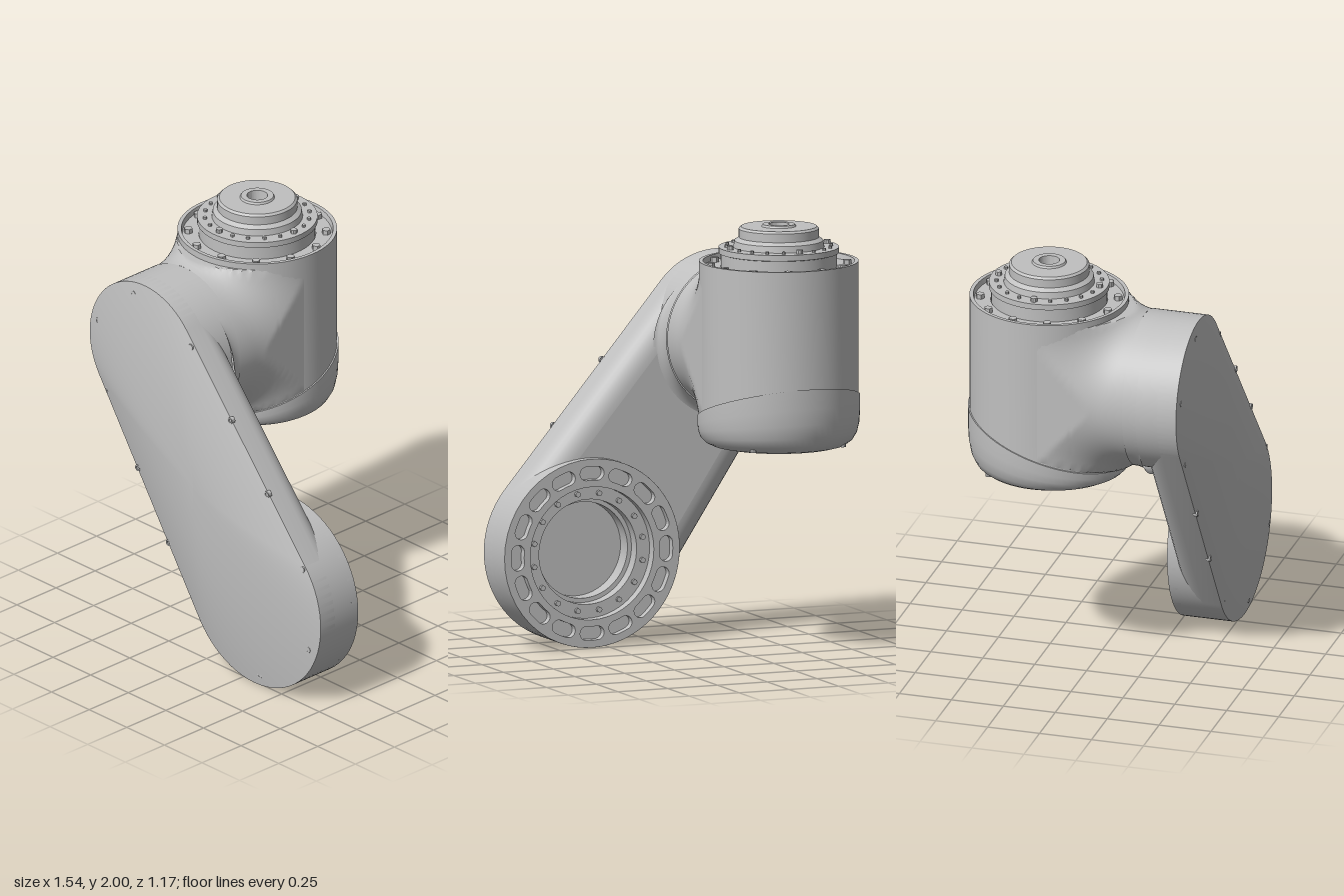
import * as THREE from 'three';
import { toCreasedNormals } from 'three/addons/utils/BufferGeometryUtils.js';

const V2 = (x, y) => new THREE.Vector2(x, y);
const UP = V2(-0.4, 1.42), LOW = V2(0.33, 0.44), BODY_Z = -0.21;
const ARM = LOW.clone().sub(UP), DIR = Math.atan2(ARM.y, ARM.x);

export function createModel() {
  const model = new THREE.Group();
  const gray = new THREE.MeshStandardMaterial({ color: 0xc0c0c0, side: THREE.DoubleSide });
  gray.name = 'castGray';

  const add = (name, geo, x = 0, y = 0, z = 0, parent = model) => {
    const mesh = new THREE.Mesh(toCreasedNormals(geo, 0.6), gray);
    mesh.name = name;
    mesh.position.set(x, y, z);
    parent.add(mesh);
  };
  const lathe = (pts, seg = 72) => new THREE.LatheGeometry(pts.map(p => V2(p[0], p[1])), seg);
  const latheZ = (pts, seg) => lathe(pts, seg).rotateX(Math.PI / 2);

  // Outline around the two ends of the arm, pulled in by an inset
  const outline = (inset, n = 36) => {
    const ra = 0.365 - inset, rb = 0.44 - inset;
    const phi = Math.acos((ra - rb) / ARM.length());
    const pts = [];
    const arc = (c, r, a0, a1) => {
      for (let i = 0; i <= n; i++) {
        const a = a0 + (a1 - a0) * i / n;
        pts.push(V2(c.x + r * Math.cos(a), c.y + r * Math.sin(a)));
      }
    };
    arc(LOW, rb, DIR - phi, DIR + phi);
    arc(UP, ra, DIR + phi, DIR + 2 * Math.PI - phi);
    return pts;
  };

  // Skin a list of closed cross-sections, running from back to front
  const loft = rows => {
    const n = rows[0].length, pos = [], idx = [];
    rows.forEach(r => r.forEach(p => pos.push(p.x, p.y, p.z)));
    for (let j = 0; j < rows.length - 1; j++) {
      for (let i = 0; i < n; i++) {
        const a = j * n + i, b = j * n + (i + 1) % n;
        idx.push(a, b, a + n, b, b + n, a + n);
      }
    }
    const g = new THREE.BufferGeometry();
    g.setAttribute('position', new THREE.Float32BufferAttribute(pos, 3));
    g.setIndex(idx);
    g.computeVertexNormals();
    return g;
  };
  // Round cross-section whose points are placed by a rule of the angle
  const section = (z, point) => Array.from({ length: 96 }, (_, i) => {
    const [x, y] = point(i / 96 * Math.PI * 2);
    return new THREE.Vector3(x, y, z);
  });
  const circleHole = (x, y, r) => new THREE.Path().absarc(x, y, r, 0, Math.PI * 2, true);

  // Arm shell with rounded back edges
  const shell = [];
  for (let i = 0; i <= 8; i++) {
    const t = i / 8 * Math.PI / 2;
    shell.push([0.12 * (1 - Math.sin(t)), 0.42 - 0.11 * Math.cos(t)]);
  }
  shell.push([0, 0.51]);
  add('armShell', loft(shell.map(([inset, z]) =>
    outline(inset).map(p => new THREE.Vector3(p.x, p.y, z)))));
  const back = new THREE.Shape(outline(0.12));
  back.holes.push(circleHole(LOW.x, LOW.y, 0.315));
  add('armBack', new THREE.ShapeGeometry(back, 48).rotateY(Math.PI).scale(-1, 1, 1), 0, 0, 0.31);

  // Domed front cover with sunken bolts along its edge
  const edge = outline(0), mid = V2(0, 0.91);
  add('frontCover', loft([1, 0.97, 0.92, 0.85, 0.7, 0.5, 0.25, 0.001].map(s => edge.map(p =>
    new THREE.Vector3(mid.x + (p.x - mid.x) * s, mid.y + (p.y - mid.y) * s,
      0.51 + 0.075 * (1 - s * s))))));
  const coverBolts = [[-0.48, 1.74], [-0.09, 1.6], [0.18, 1.31], [0.43, 1.01], [0.67, 0.7],
    [0.71, 0.29], [0.38, 0.035], [0, 0.2], [-0.24, 0.51], [-0.45, 0.83], [-0.65, 1.17], [-0.72, 1.51]];
  for (const [x, y] of coverBolts) {
    add('coverBolt', latheZ([[0.016, -0.02], [0.016, 0], [0.009, 0], [0.009, -0.006], [0, -0.006]], 12),
      mid.x + (x - mid.x) * 0.975, mid.y + (y - mid.y) * 0.975, 0.519);
  }

  // Lower end: drum wall, slotted ring and stepped socket open to the back
  add('lowerDrum', latheZ([[0.44, 0.27], [0.44, 0.51]]), LOW.x, LOW.y, 0);
  const ring = new THREE.Shape().absarc(0, 0, 0.44, 0, Math.PI * 2, false);
  ring.holes.push(circleHole(0, 0, 0.31));
  for (let i = 0; i < 16; i++) {
    const a = i / 16 * Math.PI * 2, h = 0.075, r = 0.032, R = 0.373;
    const slot = new THREE.Path();
    slot.absarc(0, 0, R + r, a - h, a + h, false);
    slot.absarc(R * Math.cos(a + h), R * Math.sin(a + h), r, a + h, a + h + Math.PI, false);
    slot.absarc(0, 0, R - r, a + h, a - h, true);
    slot.absarc(R * Math.cos(a - h), R * Math.sin(a - h), r, a - h + Math.PI, a - h + 2 * Math.PI, false);
    ring.holes.push(slot);
  }
  add('slottedRing', new THREE.ExtrudeGeometry(ring,
    { depth: 0.04, bevelEnabled: false, curveSegments: 24 }), LOW.x, LOW.y, 0.27);
  add('slotFloor', new THREE.RingGeometry(0.31, 0.438, 72).rotateY(Math.PI), LOW.x, LOW.y, 0.306);
  add('socket', latheZ([[0.31, 0.27], [0.31, 0.32], [0.245, 0.32], [0.245, 0.38],
    [0.225, 0.38], [0.225, 0.46], [0, 0.46]]), LOW.x, LOW.y, 0);
  for (let i = 0; i < 16; i++) {
    const a = (i + 0.5) / 16 * Math.PI * 2;
    add('socketBolt', latheZ([[0, 0], [0.013, 0], [0.013, 0.02]], 8),
      LOW.x + 0.277 * Math.cos(a), LOW.y + 0.277 * Math.sin(a), 0.305);
  }

  // Collar at the upper end, flaring into the arm on the side facing it
  const flare = [];
  for (let i = 0; i <= 6; i++) {
    const t = i / 6 * Math.PI / 2;
    flare.push([0.06 * (1 - Math.cos(t)), 0.255 + 0.06 * Math.sin(t)]);
  }
  add('upperCollar', loft([[0, 0.25], ...flare].map(([f, z]) => section(z, a => {
    const r = 0.365 + f * Math.max(0, Math.cos(a - DIR));
    return [UP.x + r * Math.cos(a), UP.y + r * Math.sin(a)];
  }))));
  add('collarWall', latheZ([[0.365, 0.3], [0.365, 0.51]]), UP.x, UP.y, 0);

  // Neck blended smoothly into the upright housing
  const seam = z => 1.155 - z * 0.333;
  const blend = 0.14;
  const gap = (r, a, z) => {
    const d1 = r - 0.361, d2 = Math.hypot(r * Math.cos(a), z) - 0.366;
    const h = Math.max(blend - Math.abs(d1 - d2), 0);
    return Math.min(d1, d2) - h * h / (4 * blend);
  };
  const neck = [];
  for (let i = 0; i <= 32; i++) {
    const z = 0.46 * i / 32;
    neck.push(section(z + BODY_Z, a => {
      let lo = 0.3, hi = 0.6;
      for (let k = 0; k < 24; k++) {
        const m = (lo + hi) / 2;
        if (gap(m, a, z) < 0) lo = m; else hi = m;
      }
      const x = THREE.MathUtils.clamp(lo * Math.cos(a), -0.364, 0.364);
      const y = THREE.MathUtils.clamp(UP.y + lo * Math.sin(a), seam(z) + 0.005, 1.8);
      return [UP.x + x, y];
    }));
  }
  add('neck', loft(neck));

  // Upright housing, cut along a tilted seam above its end cap
  const housing = new THREE.Group();
  housing.name = 'housing';
  housing.position.set(UP.x, 0, BODY_Z);
  model.add(housing);
  const body = lathe([[0.368, 1], [0.368, 1.83], [0.35, 1.83], [0.345, 1.805], [0.27, 1.805]]);
  const bp = body.attributes.position;
  for (let i = 0; i < bp.count; i++) if (bp.getY(i) < 1.01) bp.setY(i, seam(bp.getZ(i)));
  add('housingBody', body, 0, 0, 0, housing);

  const cap = lathe([[0, 0.06], [0.215, 0.06], [0.22, 0], [0.28, 0], [0.31, 0.03], [0.34, 0.12],
    [0.36, 0.26], [0.371, 0.46], [0.375, 0.7], [0.375, 1], [0.36, 1]]);
  const cp = cap.attributes.position;
  for (let i = 0; i < cp.count; i++) {
    cp.setY(i, 0.97 + cp.getY(i) * (seam(cp.getZ(i)) - 0.97));
  }
  add('endCap', cap, 0, 0, 0, housing);
  for (let i = 0; i < 4; i++) {
    const a = (i + 0.5) * Math.PI / 2;
    add('capBolt', new THREE.CylinderGeometry(0.016, 0.016, 0.04, 10),
      0.315 * Math.cos(a), 0.998, 0.315 * Math.sin(a), housing);
  }

  // Stepped output flange with hub and hollow centre
  add('outputFlange', lathe([[0.268, 1.8], [0.268, 1.865], [0.278, 1.868], [0.278, 1.895],
    [0.21, 1.895], [0.205, 1.925], [0.185, 1.94], [0.185, 1.98], [0.175, 1.99],
    [0.08, 1.99], [0.075, 2], [0.048, 2], [0.043, 1.93], [0, 1.93]]), 0, 0, 0, housing);
  for (let i = 0; i < 12; i++) {
    const a = (i + 0.5) / 12 * Math.PI * 2;
    add('rimBolt', new THREE.CylinderGeometry(0.02, 0.02, 0.03, 6),
      0.318 * Math.cos(a), 1.812, 0.318 * Math.sin(a), housing);
  }
  for (let i = 0; i < 20; i++) {
    const a = i / 20 * Math.PI * 2, big = i % 5 === 0, r = big ? 0.016 : 0.009;
    add('flangePin', new THREE.CylinderGeometry(r, r, big ? 0.03 : 0.016, 8),
      0.243 * Math.cos(a), 1.898, 0.243 * Math.sin(a), housing);
  }
  return model;
}
